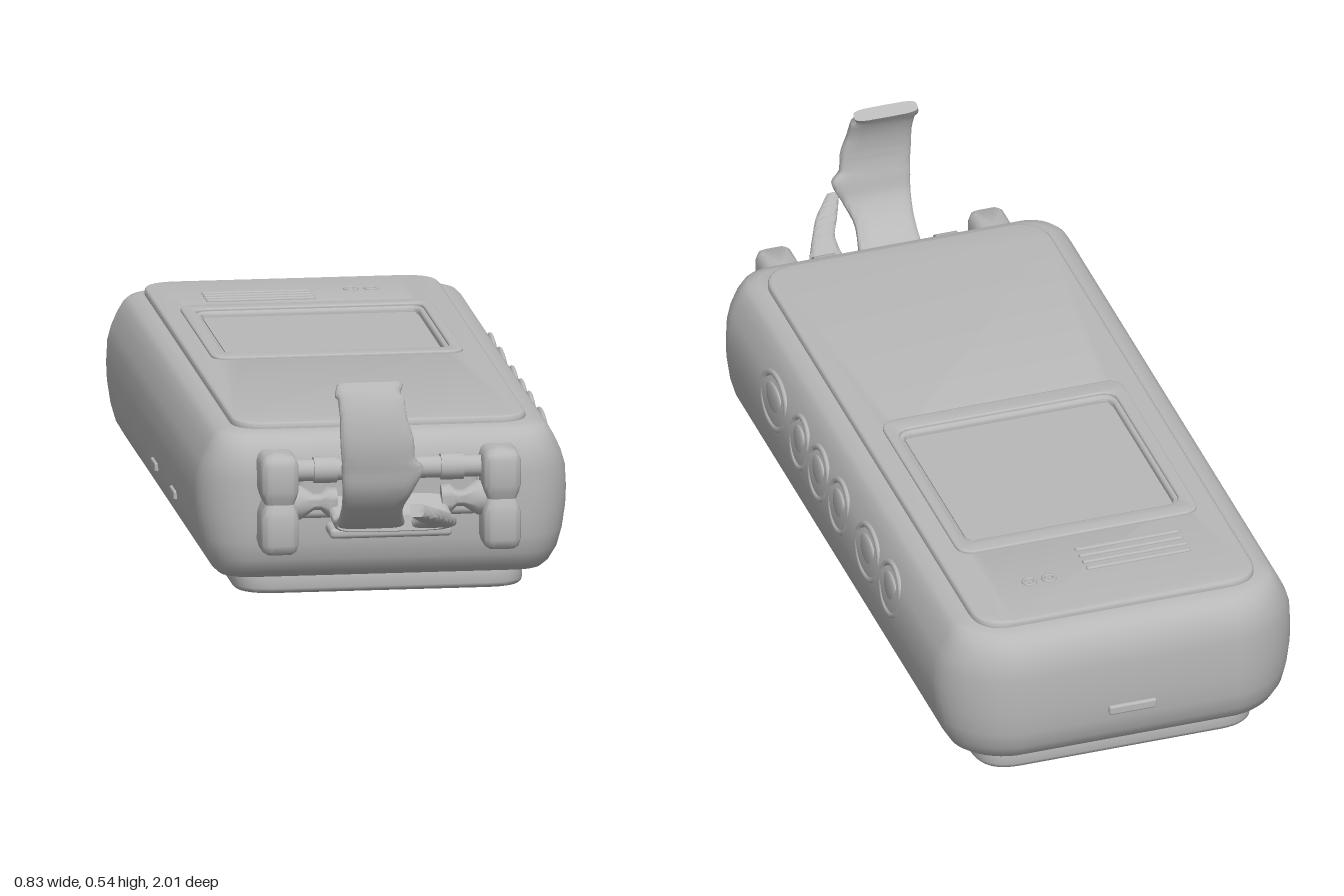
import * as THREE from 'three';
import { toCreasedNormals } from 'three/addons/utils/BufferGeometryUtils.js';
import { RoundedBoxGeometry } from 'three/addons/geometries/RoundedBoxGeometry.js';

const grey = new THREE.MeshStandardMaterial({ color: 0xb8b8b8 });
grey.name = 'grey plastic';

// Skin equal-length rings of Vector3 into a closed solid
function loft(rings, crease = 0.7) {
  const n = rings[0].length, pos = [], idx = [];
  rings.forEach(r => r.forEach(p => pos.push(p.x, p.y, p.z)));
  for (let i = 0; i < rings.length - 1; i++) {
    for (let j = 0; j < n; j++) {
      const a = i * n + j, b = i * n + (j + 1) % n;
      idx.push(a, b, b + n, a, b + n, a + n);
    }
  }
  const cap = (ring, start, flip) => {
    const c = ring.reduce((s, p) => s.add(p), new THREE.Vector3()).divideScalar(n);
    const k = pos.length / 3;
    pos.push(c.x, c.y, c.z);
    for (let j = 0; j < n; j++) {
      const a = start + j, b = start + (j + 1) % n;
      idx.push(k, flip ? b : a, flip ? a : b);
    }
  };
  cap(rings[0], 0, true);
  cap(rings[rings.length - 1], (rings.length - 1) * n, false);
  const g = new THREE.BufferGeometry();
  g.setAttribute('position', new THREE.Float32BufferAttribute(pos, 3));
  g.setIndex(idx);
  return toCreasedNormals(g, crease);
}

// Rounded plan outline at height y, with separate back and front corner radii
function outline(y, hx, zBack, zFront, rBack, rFront, bow = 0) {
  const pts = [], steps = 10;
  const corners = [[1, zBack + rBack, rBack, 0], [-1, zBack + rBack, rBack, 1],
    [-1, zFront - rFront, rFront, 2], [1, zFront - rFront, rFront, 3]];
  for (const [s, cz, r, q] of corners) {
    for (let i = 0; i <= steps; i++) {
      const t = (q + i / steps) * Math.PI / 2;
      const x = s * (hx - r) + r * Math.cos(t);
      let z = cz - r * Math.sin(t);
      if (q < 2) z += bow * (x / hx) ** 2 * Math.sin(t);
      pts.push(new THREE.Vector3(x, y, z));
    }
  }
  return pts;
}

// Curved strip through [z, y, left x, right x] stations
function ribbon(stations, thick) {
  const path = new THREE.CatmullRomCurve3(stations.map(s => new THREE.Vector3(0, s[1], s[0])));
  const sides = new THREE.CatmullRomCurve3(stations.map(s => new THREE.Vector3(s[2], s[3], 0)));
  const X = new THREE.Vector3(1, 0, 0), rings = [], steps = 36;
  for (let i = 0; i <= steps; i++) {
    const t = i / steps, c = path.getPoint(t), w = sides.getPoint(t);
    const N = path.getTangent(t).cross(X).normalize();
    const ring = [];
    for (let j = 0; j < 20; j++) {
      const a = j / 20 * Math.PI * 2, co = Math.cos(a), si = Math.sin(a);
      const u = Math.sign(co) * Math.abs(co) ** 0.4, v = Math.sign(si) * Math.abs(si) ** 0.6;
      const p = c.clone().addScaledVector(N, v * thick / 2);
      p.x = (w.x + w.y) / 2 + u * (w.y - w.x) / 2;
      ring.push(p);
    }
    rings.push(ring);
  }
  return loft(rings, 1);
}

// Rounded rectangle on the x/z plane, traced as a shape or a hole
function roundRect(Type, x0, x1, z0, z1, r) {
  const s = new Type(), a = -z1, b = -z0;
  s.moveTo(x0 + r, a).lineTo(x1 - r, a).quadraticCurveTo(x1, a, x1, a + r)
    .lineTo(x1, b - r).quadraticCurveTo(x1, b, x1 - r, b)
    .lineTo(x0 + r, b).quadraticCurveTo(x0, b, x0, b - r)
    .lineTo(x0, a + r).quadraticCurveTo(x0, a, x0 + r, a);
  return s;
}

// Lay a shape flat between y0 and y1 with softened edges
function slab(shape, y0, y1, bevel) {
  const g = new THREE.ExtrudeGeometry(shape, { depth: y1 - y0 - 2 * bevel, bevelSize: bevel,
    bevelThickness: bevel, bevelOffset: -bevel, bevelSegments: 3, curveSegments: 10 });
  g.rotateX(-Math.PI / 2).translate(0, y0 + bevel, 0);
  return toCreasedNormals(g, 0.6);
}

export function createModel() {
  const model = new THREE.Group();
  model.name = 'handheldDevice';
  const add = (name, geo, x = 0, y = 0, z = 0) => {
    const m = new THREE.Mesh(geo, grey);
    m.name = name;
    m.position.set(x, y, z);
    model.add(m);
    return m;
  };

  // Softly swollen main case: height, side inset, end inset
  const profile = [[0.04, 0.08, 0.08], [0.046, 0.055, 0.05], [0.06, 0.04, 0.03], [0.09, 0.022, 0.012],
    [0.13, 0.01, 0.004], [0.18, 0.002, 0], [0.22, 0, 0], [0.27, 0.003, 0], [0.3, 0.012, 0.003],
    [0.33, 0.026, 0.012], [0.352, 0.038, 0.026], [0.364, 0.05, 0.042], [0.37, 0.072, 0.065]];
  add('case', loft(profile.map(([y, i, e]) =>
    outline(y, 0.41 - i, -1 + e, 0.67 - e, 0.16 - i, 0.12 - i, 0.025))));

  // Top panel with the screen opening, and a bottom panel with holes
  const top = roundRect(THREE.Shape, -0.325, 0.325, -0.92, 0.595, 0.08);
  top.holes.push(roundRect(THREE.Path, -0.24, 0.24, -0.58, -0.13, 0.03));
  add('topPanel', slab(top, 0.355, 0.384, 0.008));
  const bottom = roundRect(THREE.Shape, -0.32, 0.32, -0.92, 0.59, 0.09);
  for (const [x, z, r] of [[0, -0.17, 0.025], [0.12, -0.03, 0.025], [0.13, -0.8, 0.018], [-0.23, -0.81, 0.018]]) {
    bottom.holes.push(new THREE.Path().absarc(x, -z, r, 0, Math.PI * 2));
  }
  add('bottomPanel', slab(bottom, 0, 0.05, 0.012));

  // Screen and its raised surround
  const frame = roundRect(THREE.Shape, -0.28, 0.275, -0.635, -0.075, 0.04);
  frame.holes.push(roundRect(THREE.Path, -0.25, 0.25, -0.59, -0.12, 0.035));
  add('screenFrame', slab(frame, 0.378, 0.39, 0.004));
  add('screen', new THREE.BoxGeometry(0.47, 0.006, 0.44), 0, 0.37, -0.355);

  // Speaker slats and indicator rings
  for (let i = 0; i < 4; i++) {
    add('speakerSlat', new RoundedBoxGeometry(0.24, 0.01, 0.013, 2, 0.004), -0.09, 0.384, -0.77 + i * 0.026);
  }
  for (const x of [0.12, 0.165]) {
    add('indicator', new THREE.TorusGeometry(0.013, 0.004, 8, 20).rotateX(Math.PI / 2), x, 0.384, -0.78);
  }

  // Row of round side buttons, each a rim with a low dome
  for (const [z, r] of [[0.26, 0.078], [0.085, 0.055], [-0.045, 0.06], [-0.185, 0.06], [-0.38, 0.072], [-0.535, 0.062]]) {
    const rim = add('buttonRim', new THREE.TorusGeometry(0.058, 0.007, 8, 36).rotateY(Math.PI / 2), 0.402, 0.265, z);
    rim.scale.set(0.8, 1, r / 0.058);
    rim.rotation.z = 0.12;
    const dome = add('buttonDome', new THREE.SphereGeometry(0.04, 24, 12), 0.402, 0.265, z);
    dome.scale.set(0.2, 1, r / 0.058);
  }

  // Small slots at the back and on the left side
  add('backSlot', new RoundedBoxGeometry(0.11, 0.022, 0.012, 2, 0.005), 0, 0.16, -0.998);
  for (const z of [-0.1, 0.2]) {
    add('sideSlot', new RoundedBoxGeometry(0.01, 0.02, 0.07, 2, 0.004), -0.406, 0.15, z);
  }

  // Pair of waisted lugs with flared axle stubs
  const lug = [[0.118, 0.014], [0.124, 0.005], [0.14, 0], [0.2, 0], [0.215, 0.004], [0.23, 0.01],
    [0.245, 0.004], [0.26, 0], [0.315, 0], [0.33, 0.005], [0.337, 0.014]];
  const stub = [[0, 0], [0.03, 0], [0.032, 0.02], [0.018, 0.035], [0.018, 0.05], [0.038, 0.08], [0.038, 0.1], [0, 0.1]]
    .map(p => new THREE.Vector2(...p));
  for (const s of [-1, 1]) {
    add('strapLug', loft(lug.map(([y, i]) => outline(y, 0.042 - i, 0.6, 0.752 - i, 0.02, 0.025 - i))), s * 0.245);
    const axle = toCreasedNormals(new THREE.LatheGeometry(stub, 20), 0.9).rotateZ(s * -Math.PI / 2);
    add('axleStub', axle, s * 0.115, 0.225, 0.69);
  }

  // Cross bar, its collars, and the lower ledge
  add('crossBar', new THREE.CylinderGeometry(0.024, 0.024, 0.42, 20).rotateZ(Math.PI / 2), 0, 0.295, 0.685);
  for (const s of [-1, 1]) {
    add('barCollar', new THREE.CylinderGeometry(0.029, 0.029, 0.05, 20).rotateZ(Math.PI / 2), s * 0.14, 0.295, 0.685);
  }
  add('barWeb', new RoundedBoxGeometry(0.4, 0.11, 0.04, 3, 0.015), 0, 0.24, 0.665);
  add('lowerLedge', new RoundedBoxGeometry(0.27, 0.024, 0.09, 3, 0.01), 0, 0.162, 0.695);

  // Strap root, upright strap and pointed tongue
  add('strapRoot', ribbon([[0.67, 0.225, -0.14, 0.13], [0.72, 0.205, -0.135, 0.13],
    [0.77, 0.19, -0.13, 0.135], [0.81, 0.198, -0.13, 0.12]], 0.034));
  add('uprightStrap', ribbon([[0.76, 0.19, -0.13, 0.03], [0.83, 0.21, -0.13, 0.015], [0.885, 0.25, -0.13, 0.005],
    [0.92, 0.3, -0.133, 0.025], [0.93, 0.345, -0.136, 0.045], [0.935, 0.37, -0.137, 0.025],
    [0.938, 0.41, -0.14, 0.022], [0.932, 0.46, -0.14, 0.008], [0.918, 0.5, -0.143, 0.004],
    [0.9, 0.528, -0.143, 0.004]], 0.03));
  add('strapTongue', ribbon([[0.76, 0.19, 0, 0.135], [0.83, 0.205, 0.045, 0.13],
    [0.89, 0.225, 0.05, 0.105], [0.95, 0.245, 0.025, 0.075], [0.998, 0.265, 0.005, 0.035]], 0.03));

  return model;
}
